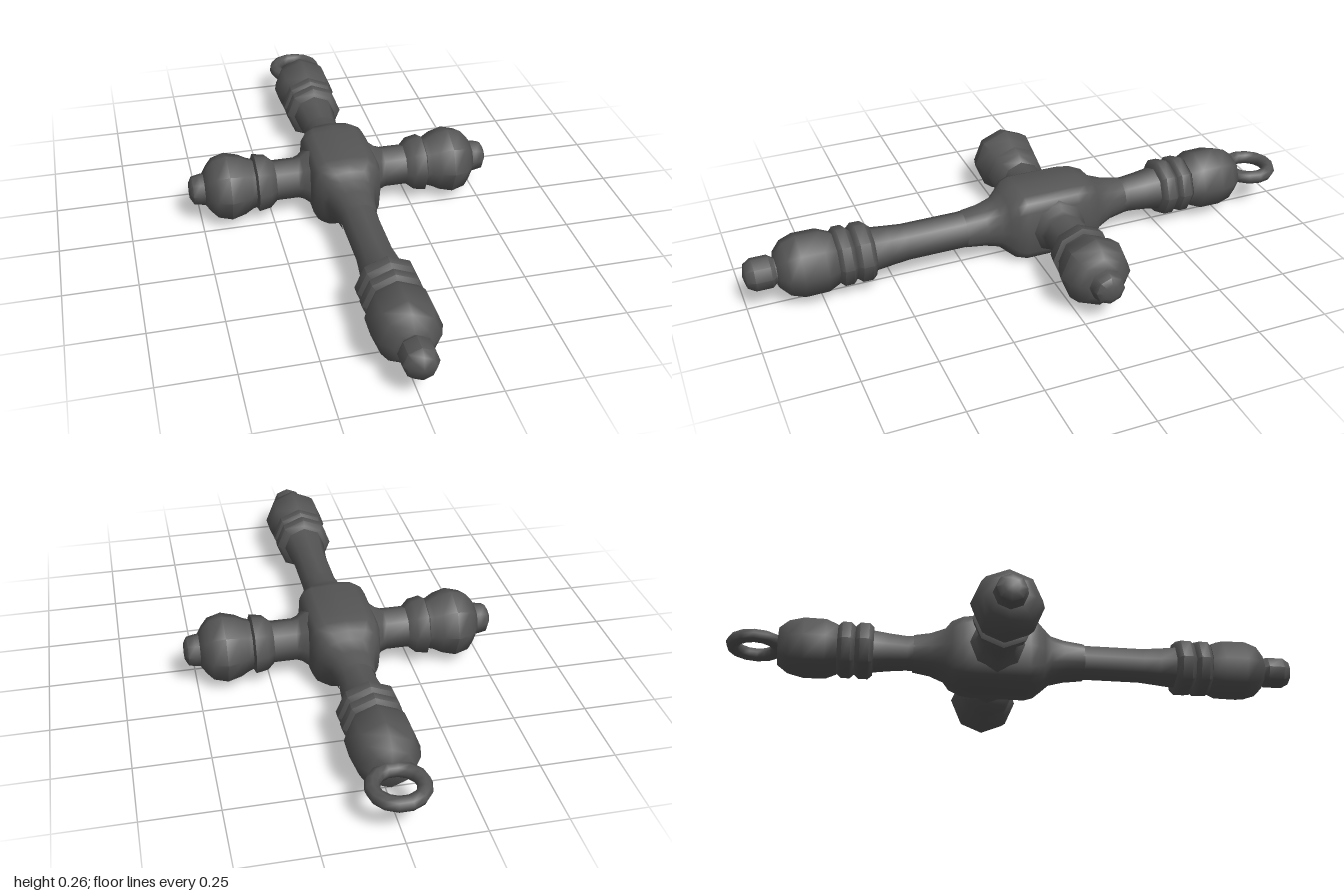
import * as THREE from 'three';
import { toCreasedNormals } from 'three/addons/utils/BufferGeometryUtils.js';

const CY = 0.13;   // height of all axes
const CZ = -0.075; // z of the crossbar
const material = new THREE.MeshStandardMaterial({ color: 0x555555 });

function addMesh(group, name, geometry, crease = 0.9) {
  const mesh = new THREE.Mesh(toCreasedNormals(geometry, crease), material);
  mesh.name = name;
  group.add(mesh);
  return mesh;
}

// Eight-sided turned part; profile is [radius, distance along the arm]
function turned(profile) {
  return new THREE.LatheGeometry(profile.map(([r, d]) => new THREE.Vector2(r, d)), 8);
}

// Bead: a flat band with chamfered edges
function bead(start, end, r) {
  const c = (end - start) * 0.25;
  return turned([[0, start], [r - 0.015, start], [r, start + c], [r, end - c], [r - 0.015, end], [0, end]]);
}

// Smooth block lofted along z from superellipse sections [z, halfX, halfY, exponent]
function loft(sections, sides) {
  const positions = [], indices = [];
  sections.forEach(([z, hx, hy, e], i) => {
    for (let j = 0; j < sides; j++) {
      const a = (j / sides) * Math.PI * 2;
      const c = Math.cos(a), s = Math.sin(a);
      positions.push(
        hx * Math.sign(c) * Math.abs(c) ** (2 / e),
        hy * Math.sign(s) * Math.abs(s) ** (2 / e), z);
      if (i === sections.length - 1) continue;
      const k = (j + 1) % sides, p = i * sides, q = p + sides;
      indices.push(p + j, p + k, q + j, p + k, q + k, q + j);
    }
  });
  const geometry = new THREE.BufferGeometry();
  geometry.setAttribute('position', new THREE.Float32BufferAttribute(positions, 3));
  geometry.setIndex(indices);
  return geometry;
}

export function createModel() {
  const model = new THREE.Group();
  model.name = 'turnedCross';

  // Central block with necks that flare into the long arms
  const block = loft([
    [-0.36, 0.064, 0.066, 2], [-0.30, 0.075, 0.075, 2.1], [-0.25, 0.092, 0.09, 2.6],
    [-0.23, 0.106, 0.112, 3.2], [-0.19, 0.12, 0.125, 3.8], [-0.15, 0.122, 0.129, 4],
    [0.04, 0.122, 0.129, 4], [0.07, 0.115, 0.122, 3.6], [0.095, 0.095, 0.105, 3],
    [0.12, 0.083, 0.085, 2.4], [0.17, 0.072, 0.074, 2.1], [0.24, 0.064, 0.066, 2],
  ], 16);
  block.translate(0, CY, 0);
  addMesh(model, 'centerBlock', block, 1.2);

  // Front arm, running towards +z
  const front = new THREE.Group();
  front.name = 'frontArm';
  front.position.y = CY;
  front.rotation.x = Math.PI / 2;
  addMesh(front, 'frontShaft', turned([[0.067, 0.2], [0.064, 0.25], [0.064, 0.45], [0.07, 0.51], [0.08, 0.6]]));
  addMesh(front, 'frontInnerBead', bead(0.567, 0.635, 0.104));
  addMesh(front, 'frontOuterBead', bead(0.635, 0.695, 0.104));
  addMesh(front, 'frontBulb', turned([[0, 0.695], [0.092, 0.695], [0.11, 0.735], [0.111, 0.815], [0.095, 0.86], [0.062, 0.89], [0, 0.895]]));
  addMesh(front, 'frontKnob', turned([[0.045, 0.88], [0.045, 0.895], [0.057, 0.91], [0.057, 0.965], [0.042, 0.99], [0, 1]]));
  model.add(front);

  // Back arm, running towards -z
  const back = new THREE.Group();
  back.name = 'backArm';
  back.position.y = CY;
  back.rotation.x = -Math.PI / 2;
  addMesh(back, 'backShaft', turned([[0.067, 0.33], [0.064, 0.38], [0.07, 0.44], [0.081, 0.52]]));
  addMesh(back, 'backInnerBead', bead(0.497, 0.56, 0.104));
  addMesh(back, 'backOuterBead', bead(0.56, 0.62, 0.104));
  addMesh(back, 'backBulb', turned([[0, 0.62], [0.092, 0.62], [0.11, 0.66], [0.111, 0.735], [0.098, 0.785], [0.07, 0.82], [0, 0.825]]));
  model.add(back);

  // Hanging ring lying flat at the back end
  const ring = addMesh(model, 'hangingRing', new THREE.TorusGeometry(0.078, 0.024, 8, 14), 1.2);
  ring.rotation.set(Math.PI / 2, 0, 0);
  ring.position.set(0, CY, -0.898);

  // Matching side arms
  for (const [side, sign] of [['left', 1], ['right', -1]]) {
    const arm = new THREE.Group();
    arm.name = side + 'Arm';
    arm.position.set(0, CY, CZ);
    arm.rotation.z = -sign * Math.PI / 2;
    addMesh(arm, side + 'Shaft', turned([[0.105, 0.1], [0.095, 0.122], [0.08, 0.14], [0.073, 0.158], [0.073, 0.25]]));
    addMesh(arm, side + 'Collar', turned([[0.073, 0.235], [0.096, 0.26], [0.104, 0.302], [0.085, 0.31], [0, 0.31]]));
    addMesh(arm, side + 'Bulb', turned([[0, 0.3], [0.085, 0.3], [0.093, 0.325], [0.108, 0.352], [0.121, 0.4], [0.108, 0.447], [0.085, 0.468], [0.06, 0.485], [0, 0.485]]));
    addMesh(arm, side + 'Knob', turned([[0.058, 0.48], [0.055, 0.5], [0.05, 0.525], [0.028, 0.537], [0, 0.538]]));
    model.add(arm);
  }

  return model;
}
